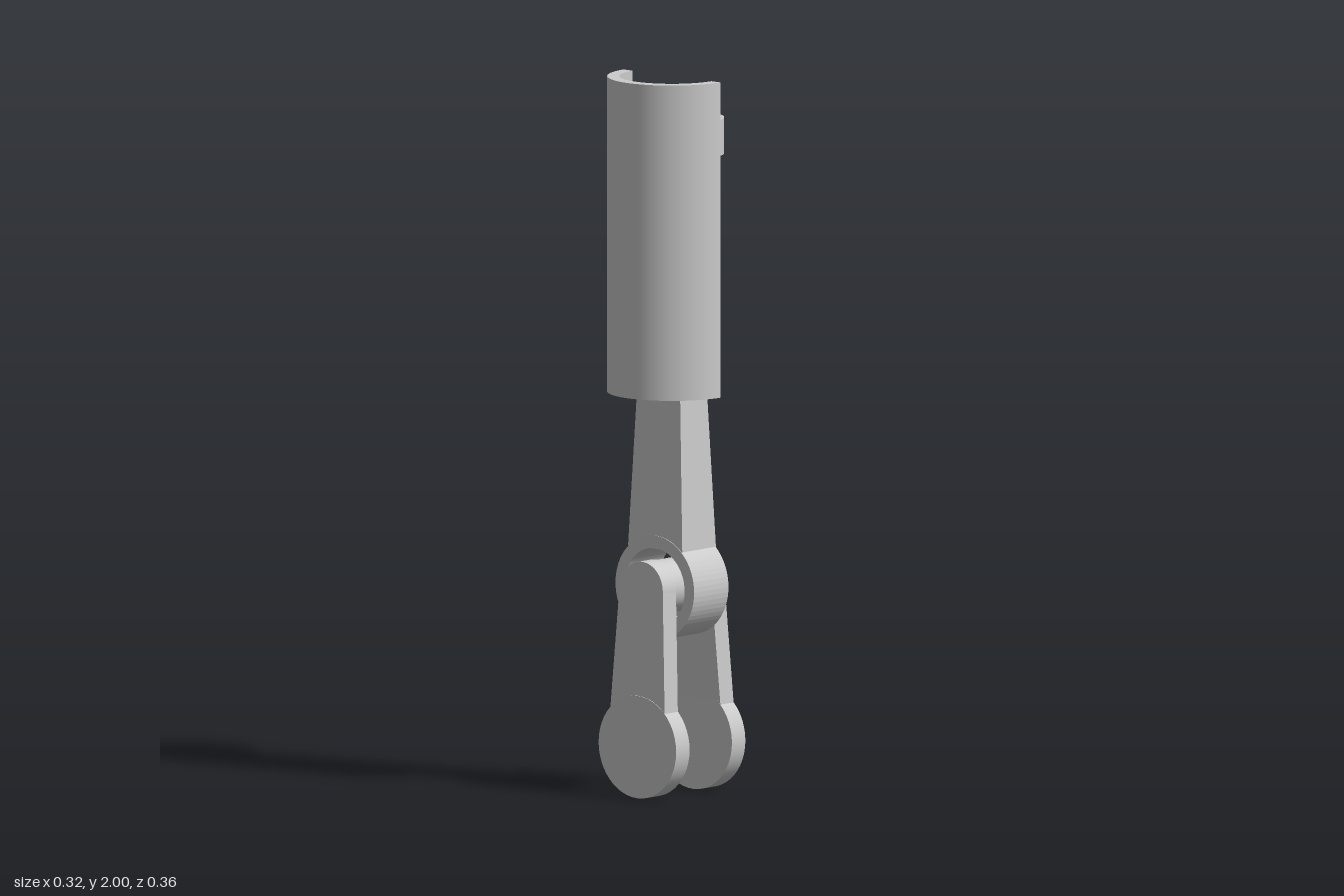
import * as THREE from 'three';

const CX = 0.016; // axis of the cylinder and the rod
const mat = new THREE.MeshStandardMaterial({ color: 0xcccccc });

export function createModel() {
  const model = new THREE.Group();
  const add = (name, geometry, x = 0, y = 0, z = 0) => {
    const mesh = new THREE.Mesh(geometry, mat);
    mesh.name = name;
    mesh.position.set(x, y, z);
    model.add(mesh);
    return mesh;
  };
  // cylinder lying along x, centred on its position
  const xCylinder = (r, length) => new THREE.CylinderGeometry(r, r, length, 48).rotateZ(Math.PI / 2);
  // profile drawn as (z, y), extruded along x and centred
  const xExtrude = (shape, depth) => new THREE.ExtrudeGeometry(shape, { depth, bevelEnabled: false, curveSegments: 32 })
    .translate(0, 0, -depth / 2).rotateY(Math.PI / 2);

  // cut-away half sleeve, open towards +x
  const half = new THREE.Shape();
  half.absarc(0, 0, 0.179, Math.PI / 2, Math.PI * 1.5, false);
  half.absarc(0, 0, 0.145, Math.PI * 1.5, Math.PI / 2, true);
  half.closePath();
  const sleeve = new THREE.ExtrudeGeometry(half, { depth: 0.88, bevelEnabled: false, curveSegments: 48 });
  add('cylinderSleeve', sleeve.rotateX(-Math.PI / 2), CX, 1.12);

  // piston
  add('pistonHead', new THREE.CylinderGeometry(0.144, 0.144, 0.1, 64), CX, 1.835);

  // tapered connecting rod
  const y0 = 0.688, y1 = 1.79;
  const rod = new THREE.BoxGeometry(2, y1 - y0, 2);
  const p = rod.attributes.position;
  for (let i = 0; i < p.count; i++) {
    const top = p.getY(i) > 0;
    p.setX(i, p.getX(i) * (top ? 0.034 : 0.07));
    p.setZ(i, p.getZ(i) * (top ? 0.048 : 0.1));
  }
  rod.computeVertexNormals();
  add('connectingRod', rod, CX, (y0 + y1) / 2);

  // small end and wrist pin
  add('smallEnd', xCylinder(0.06, 0.09), CX, 1.73);
  add('wristPin', xCylinder(0.04, 0.146), CX, 1.73);

  // big end ring around the crank pin
  const ring = new THREE.Shape().absarc(0, 0, 0.145, 0, Math.PI * 2, false);
  ring.holes.push(new THREE.Path().absarc(0, 0, 0.11, 0, Math.PI * 2, true));
  add('bigEnd', xExtrude(ring, 0.143), CX, 0.58);
  add('crankPin', xCylinder(0.075, 0.18), CX, 0.58);

  // crank webs: round foot and an arm leaning towards the pin
  const arm = new THREE.Shape();
  arm.moveTo(-0.1, 0.245);
  arm.lineTo(0.1, 0.245);
  arm.lineTo(0.08, 0.578);
  arm.absarc(0, 0.578, 0.08, 0, Math.PI, false);
  arm.closePath();
  for (const side of [1, -1]) {
    const name = side > 0 ? 'left' : 'right';
    const x = CX + side * 0.116;
    add(name + 'WebFoot', xCylinder(0.143, 0.056), x, 0.143);
    const geo = xExtrude(arm, 0.055);
    const q = geo.attributes.position;
    for (let i = 0; i < q.count; i++) q.setX(i, q.getX(i) - side * (q.getY(i) - 0.245) * 0.045);
    geo.computeVertexNormals();
    add(name + 'WebArm', geo, x);
  }
  return model;
}
